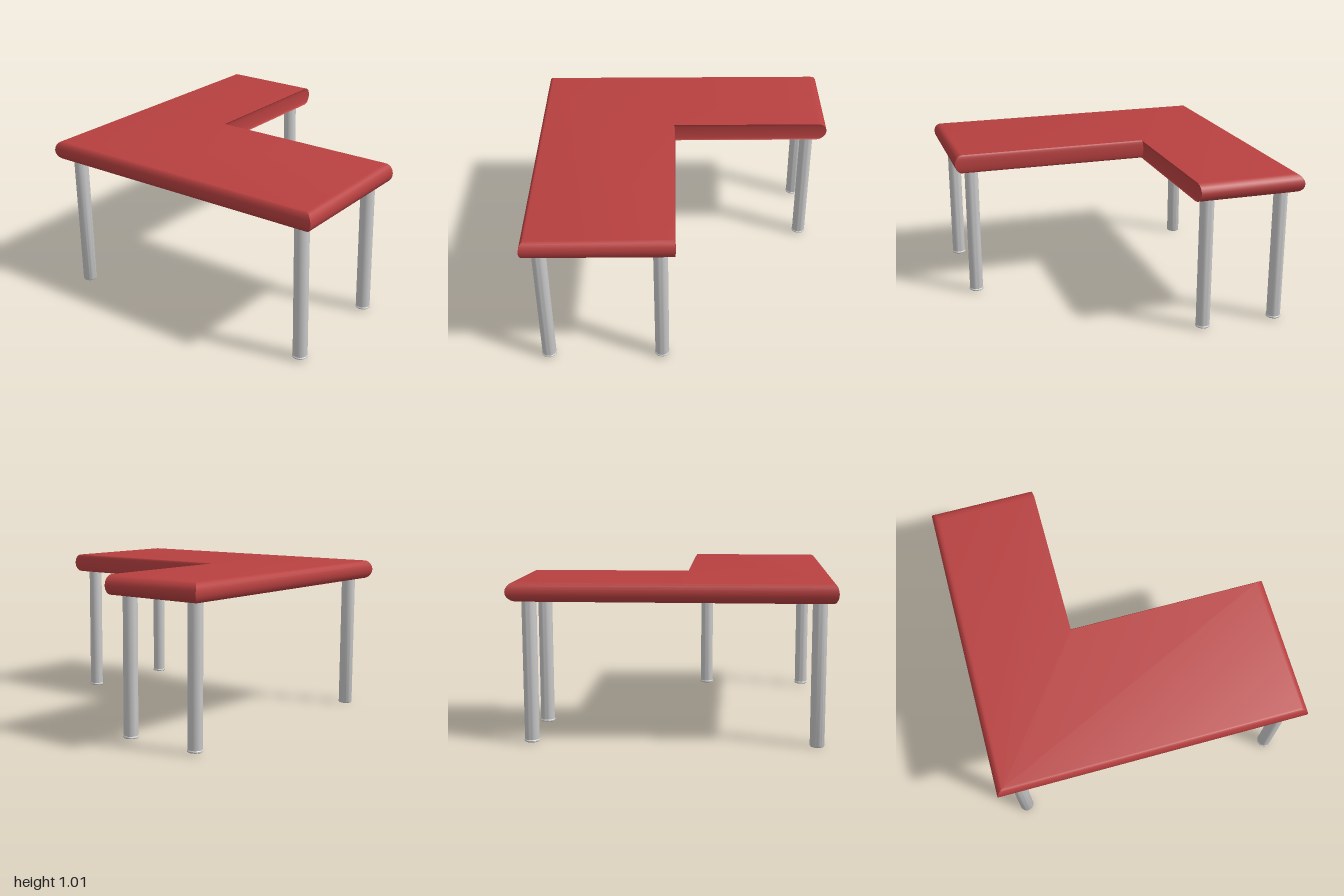
import * as THREE from 'three';
import { toCreasedNormals } from 'three/addons/utils/BufferGeometryUtils.js';

const red = new THREE.MeshStandardMaterial({ color: 0xb84040 });
const grey = new THREE.MeshStandardMaterial({ color: 0xcccccc });

// Corners of the L: x, z of the flat face, then how far the edge moves at mid height
const corners = [
  [-0.95, 0.95, -0.05, 0.035],
  [0.95, 0.95, 0.05, 0.035],
  [0.95, 0.07, 0.05, -0.012],
  [-0.30, 0.07, -0.01, -0.012],
  [-0.30, -0.92, -0.01, -0.07],
  [-0.95, -0.92, -0.05, -0.07],
];

// L-shaped slab whose edges follow a half-ellipse from bottom to top
function slabGeometry(yBottom, yTop, steps) {
  const n = corners.length;
  const positions = [];
  const index = [];
  for (let i = 0; i <= steps; i++) {
    const angle = (Math.PI * i) / steps;
    const y = (yBottom + yTop) / 2 - ((yTop - yBottom) / 2) * Math.cos(angle);
    const k = Math.sin(angle);
    for (const [x, z, dx, dz] of corners) positions.push(x + k * dx, y, z + k * dz);
  }
  for (let i = 0; i < steps; i++) {
    for (let j = 0; j < n; j++) {
      const a = i * n + j;
      const b = i * n + ((j + 1) % n);
      index.push(a, b, b + n, a, b + n, a + n);
    }
  }
  // flat bottom and top
  const outline = corners.map(([x, z]) => new THREE.Vector2(x, -z));
  for (const [a, b, c] of THREE.ShapeUtils.triangulateShape(outline, [])) {
    const t = steps * n;
    index.push(t + a, t + b, t + c, a, c, b);
  }
  const geometry = new THREE.BufferGeometry();
  geometry.setAttribute('position', new THREE.Float32BufferAttribute(positions, 3));
  geometry.setIndex(index);
  return toCreasedNormals(geometry, 0.6);
}

// Turned leg from a profile of radius, height pairs
function legGeometry(profile) {
  const points = profile.map(([r, y]) => new THREE.Vector2(r, y));
  return toCreasedNormals(new THREE.LatheGeometry(points, 32), 0.6);
}

export function createModel() {
  const model = new THREE.Group();
  model.name = 'cornerTable';

  const add = (name, geometry, material, x = 0, z = 0) => {
    const mesh = new THREE.Mesh(geometry, material);
    mesh.name = name;
    mesh.position.set(x, 0, z);
    model.add(mesh);
  };

  add('tableTop', slabGeometry(0.886, 1.01, 10), red);

  // plain leg at the outer corner of the L
  const plainLeg = legGeometry([[0, 0], [0.041, 0], [0.045, 0.006], [0.045, 0.89], [0, 0.89]]);
  add('cornerLeg', plainLeg, grey, -0.87, 0.885);

  // four legs with a small flared foot
  const footedLeg = legGeometry([
    [0, 0.013], [0.043, 0.013], [0.048, 0.017], [0.048, 0.023],
    [0.044, 0.028], [0.045, 0.034], [0.045, 0.89], [0, 0.89],
  ]);
  add('frontLeftLeg', footedLeg, grey, 0.88, 0.885);
  add('innerLeftLeg', footedLeg, grey, 0.88, 0.15);
  add('backInnerLeg', footedLeg, grey, -0.40, -0.865);
  add('backRightLeg', footedLeg, grey, -0.90, -0.865);

  return model;
}
